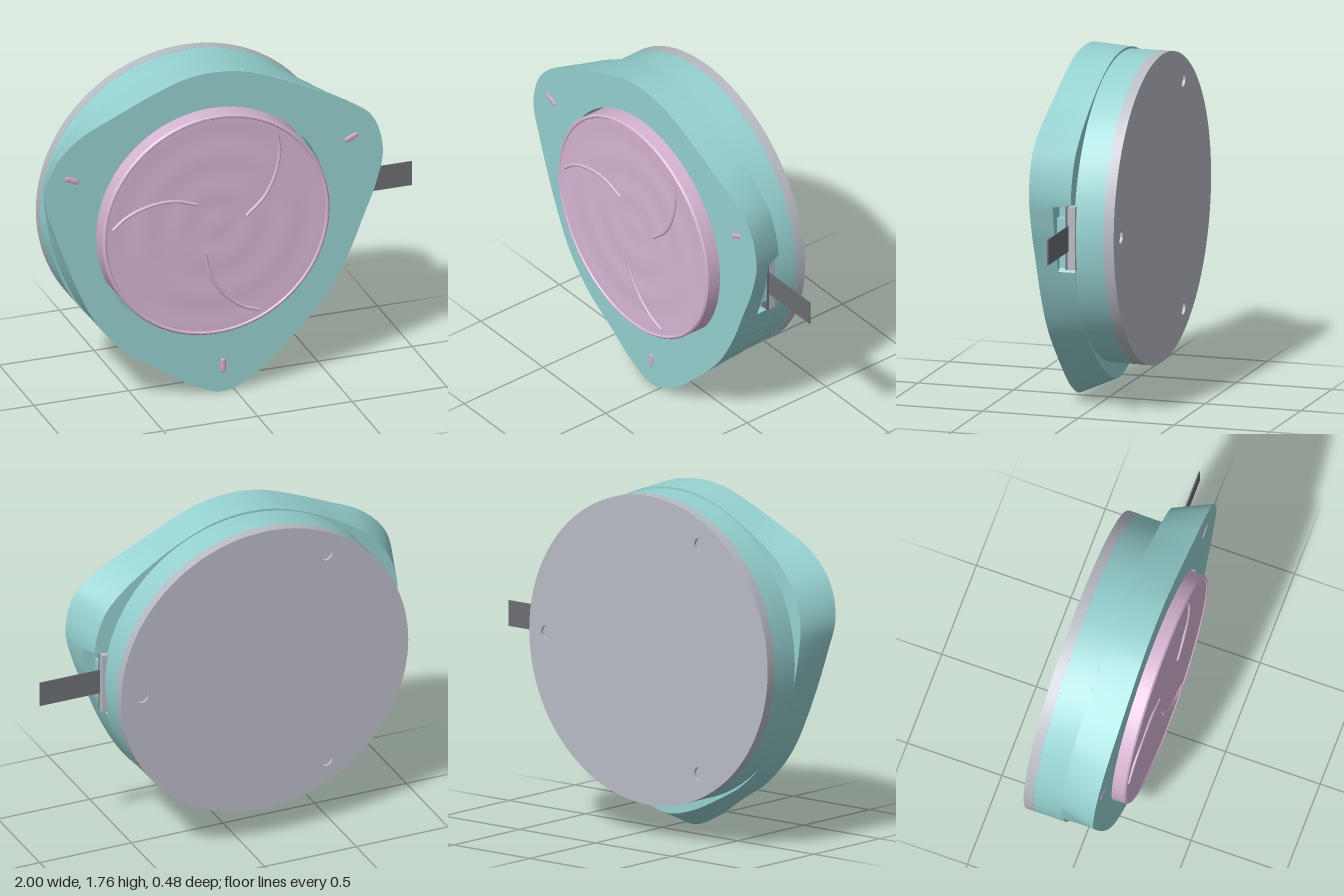
import * as THREE from 'three';
import { toCreasedNormals } from 'three/addons/utils/BufferGeometryUtils.js';

const CX = -0.12, CY = 0.955; // axis of the round parts

function material(name, color, side = THREE.FrontSide) {
  const m = new THREE.MeshStandardMaterial({ color, side });
  m.name = name;
  return m;
}

// Lathe profile of [radius, z] pairs, turned so that its axis is z
function turned(profile) {
  const g = new THREE.LatheGeometry(profile.map(([r, z]) => new THREE.Vector2(r, z)), 96);
  return toCreasedNormals(g.rotateX(Math.PI / 2), 0.5);
}

// Wall through closed rings, each ring { pts, z }
function loft(rings) {
  const pos = [];
  for (let k = 0; k < rings.length - 1; k++) {
    const a = rings[k], b = rings[k + 1], n = a.pts.length;
    for (let i = 0; i < n; i++) {
      const j = (i + 1) % n;
      const v = (r, q) => [r.pts[q].x, r.pts[q].y, r.z];
      pos.push(...v(a, i), ...v(b, i), ...v(b, j), ...v(a, i), ...v(b, j), ...v(a, j));
    }
  }
  const g = new THREE.BufferGeometry();
  g.setAttribute('position', new THREE.Float32BufferAttribute(pos, 3));
  return toCreasedNormals(g, 0.5);
}

export function createModel() {
  const model = new THREE.Group();
  const body = new THREE.Group();
  body.name = 'switchBody';
  body.position.set(CX, CY, 0);
  model.add(body);

  const teal = material('teal shell', 0x95d1d0, THREE.DoubleSide);
  const pink = material('pink button', 0xd7b5d2);
  const rose = material('rose light', 0xe0a9cf);
  const grey = material('grey base', 0xb9bbc4);
  const dark = material('dark strap', 0x6c6e72);

  const add = (name, geometry, mat, x = 0, y = 0, z = 0) => {
    const m = new THREE.Mesh(geometry, mat);
    m.name = name;
    m.position.set(x, y, z);
    body.add(m);
    return m;
  };

  // Rounded three-cornered outline, clockwise from the top
  const corners = [
    [-0.12, 1.76], [0.05, 1.74], [0.22, 1.676], [0.42, 1.58], [0.6, 1.49], [0.73, 1.385],
    [0.785, 1.2], [0.75, 1.02], [0.68, 0.84], [0.6, 0.645], [0.49, 0.45], [0.35, 0.29], [0.1, 0.065],
    [-0.06, 0.003], [-0.22, 0.06], [-0.4, 0.18], [-0.56, 0.285], [-0.71, 0.45], [-0.82, 0.66],
    [-0.95, 1.0], [-1.0, 1.18], [-0.96, 1.36], [-0.83, 1.5], [-0.63, 1.6], [-0.4, 1.7], [-0.26, 1.746],
  ].map(([x, y]) => new THREE.Vector3(x - CX, y - CY, 0));
  const outline = new THREE.CatmullRomCurve3(corners, true, 'centripetal')
    .getSpacedPoints(300).slice(0, -1).reverse();

  // The wall tapers towards the round base, most at the corners
  const tapered = (z) => outline.map((p) => {
    const t = 0.5 * (0.165 - z) / 0.195, r = p.length();
    return p.clone().setLength(r + (0.78 - r) * t);
  });
  // Notch for the strap on the side
  const notched = (pts) => pts.map((p) =>
    p.x > 0 && Math.abs(p.y) < 0.165 ? new THREE.Vector3(0.75, p.y, 0) : p);
  const front = tapered(0.165), middle = tapered(0.055), back = notched(tapered(-0.03));

  add('bezelWall', loft([
    { pts: front, z: 0.165 }, { pts: middle, z: 0.055 },
    { pts: notched(middle), z: 0.055 }, { pts: back, z: -0.03 },
  ]), teal);

  const flat = (pts) => new THREE.Shape(pts.map((p) => new THREE.Vector2(p.x, p.y)));
  const face = flat(front);
  face.holes.push(new THREE.Path().absarc(0, 0, 0.612, 0, Math.PI * 2, true));
  add('bezelFace', new THREE.ShapeGeometry(face, 48), teal, 0, 0, 0.165);
  add('bezelBack', new THREE.ShapeGeometry(flat(back)).scale(1, 1, 1), teal, 0, 0, -0.03);
  add('buttonWell', turned([[0.612, 0.03], [0.612, 0.165]]), teal);

  // Button with a chamfered rim and a gently rippled face
  const profile = [[0.6, 0], [0.6, 0.227], [0.592, 0.235], [0.585, 0.235], [0.58, 0.229]];
  for (let i = 1; i <= 28; i++) {
    const r = 0.58 * (1 - i / 28);
    profile.push([r, 0.2275 + 0.0015 * Math.cos((0.58 - r) * 32)]);
  }
  add('button', turned(profile), pink);

  // Three swirling ridges on the button
  const swirl = new THREE.CatmullRomCurve3(
    [[0.16, 0.025], [0.255, 0.115], [0.315, 0.235], [0.335, 0.355], [0.322, 0.445]]
      .map(([x, y]) => new THREE.Vector3(x, y, 0)));
  for (let i = 0; i < 3; i++) {
    const ridge = add('swirlRidge', new THREE.TubeGeometry(swirl, 32, 0.009, 8), pink, 0, 0, 0.229);
    ridge.rotation.z = i * Math.PI * 2 / 3;
  }

  // Small lights on the bezel corners
  for (const [x, y, turn] of [[0.62, 1.288, -65], [-0.86, 1.288, 65], [-0.06, 0.145, 0]]) {
    const light = add('cornerLight', new THREE.CapsuleGeometry(0.014, 0.05, 6, 12), rose, x - CX, y - CY, 0.165);
    light.rotation.z = THREE.MathUtils.degToRad(turn);
    light.scale.z = 0.4;
  }

  // Round housing behind the bezel
  add('housing', turned([[0, -0.185], [0.782, -0.185], [0.782, -0.031], [0, -0.031]]), teal);

  // Base plate with three screw holes
  const plate = new THREE.Shape().absarc(0, 0, 0.783, 0, Math.PI * 2);
  for (let i = 0; i < 3; i++) {
    const a = i * Math.PI * 2 / 3, x = 0.67 * Math.cos(a), y = 0.67 * Math.sin(a);
    plate.holes.push(new THREE.Path().absarc(x, y, 0.034, 0, Math.PI * 2, true));
    add('screw', new THREE.CylinderGeometry(0.033, 0.033, 0.03, 24).rotateX(Math.PI / 2), grey, x, y, -0.21);
  }
  const plateGeometry = new THREE.ExtrudeGeometry(plate, { depth: 0.053, bevelEnabled: false, curveSegments: 48 });
  add('basePlate', toCreasedNormals(plateGeometry, 0.5), grey, 0, 0, -0.238);

  // Strap and its clamp in the side notch
  add('strap', new THREE.BoxGeometry(0.4, 0.13, 0.006), dark, 0.92, 0, -0.003);
  add('strapClamp', new THREE.BoxGeometry(0.045, 0.32, 0.038), grey, 0.772, 0, -0.021);
  add('clampPad', new THREE.BoxGeometry(0.045, 0.32, 0.012), dark, 0.772, 0, 0.004);
  add('strapBlock', new THREE.BoxGeometry(0.045, 0.2, 0.045), teal, 0.772, 0, 0.0325);

  return model;
}
